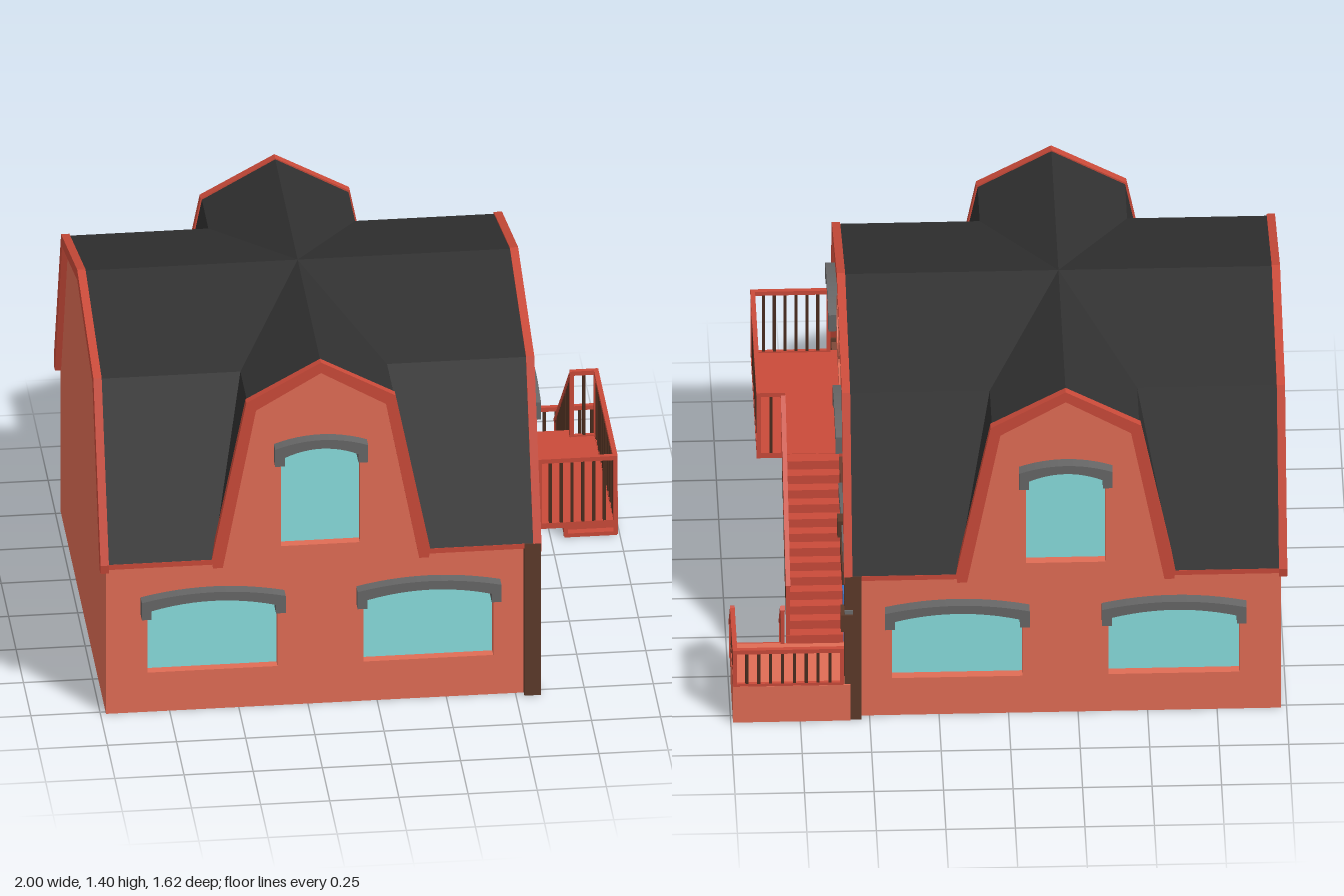
import * as THREE from 'three';

const mat = (color, extra = {}) => new THREE.MeshStandardMaterial({ color, ...extra });
const M = {
  wall: mat(0xe06c55), trim: mat(0xc94a39), roof: mat(0x303030, { side: THREE.DoubleSide, flatShading: true }),
  brown: mat(0x5c3a2a), door: mat(0x7e4838), stone: mat(0x666666), bar: mat(0x4a2c1e),
  glass: mat(0x88dddd, { side: THREE.DoubleSide }), blue: mat(0x3672c8),
};
const CX = -0.205, HL = 0.795, HW = 0.785;          // house centre, half length, half width
const SIDE = [[HW, 0.62], [0.54, 1.25], [0, 1.4]];   // gambrel half profiles, eave to ridge
const FRONT = [[0.39, 0.62], [0.265, 1.25], [0, 1.4]];

function add(parent, name, geo, material, x = 0, y = 0, z = 0) {
  const m = new THREE.Mesh(geo, material);
  m.name = name;
  m.position.set(x, y, z);
  parent.add(m);
  return m;
}
// box given by its minimum and maximum corners
function box(parent, name, material, x0, x1, y0, y1, z0, z1) {
  return add(parent, name, new THREE.BoxGeometry(x1 - x0, y1 - y0, z1 - z0), material,
    (x0 + x1) / 2, (y0 + y1) / 2, (z0 + z1) / 2);
}
const poly = pts => new THREE.Shape(pts.map(p => new THREE.Vector2(p[0], p[1])));
const mirrored = half => [...half, ...half.slice(0, -1).reverse().map(([x, y]) => [-x, y])];
const extrude = (shape, depth) => new THREE.ExtrudeGeometry(shape, { depth, bevelEnabled: false, curveSegments: 12 });

// arched window opening: u = centre, h = half width, y0 = sill, yl = foot of lintel
function opening({ u, h, y0, yl }) {
  const s = new THREE.Shape();
  s.moveTo(u - h, y0).lineTo(u + h, y0).lineTo(u + h, yl + 0.035);
  s.quadraticCurveTo(u, yl + 0.095, u - h, yl + 0.035);
  return s;
}
function lintel({ u, h, yl }) {
  const o = h + 0.025, i = h - 0.01, s = new THREE.Shape();
  s.moveTo(u - o, yl).lineTo(u - i, yl).lineTo(u - i, yl + 0.035);
  s.quadraticCurveTo(u, yl + 0.095, u + i, yl + 0.035);
  s.lineTo(u + i, yl).lineTo(u + o, yl).lineTo(u + o, yl + 0.07);
  s.quadraticCurveTo(u, yl + 0.13, u - o, yl + 0.07);
  return s;
}
// wall with gable, recessed windows, lintels and gable trim, facing local +z
function facade(parent, name, angle, half, dist, profile, windows, thick, round) {
  const g = new THREE.Group();
  g.name = name;
  g.position.x = CX;
  g.rotation.y = angle;
  parent.add(g);
  const face = dist - 0.02;
  const inner = [[half, 0], [half, 0.62], [Math.min(profile[0][0] - 0.01, half - 0.001), 0.62],
    [profile[1][0] - 0.005, 1.24], [0, 1.39]];
  const shape = poly(mirrored(inner));
  for (const w of windows) {
    shape.holes.push(opening(w));
    add(g, 'windowPane', new THREE.ShapeGeometry(opening(w)), M.glass, 0, 0, face - thick + 0.01);
    add(g, 'windowLintel', extrude(lintel(w), 0.06), M.stone, 0, 0, face - 0.015);
  }
  if (round) {
    const circle = r => new THREE.Path().absarc(0, 1.17, r, 0, Math.PI * 2);
    shape.holes.push(circle(0.08));
    const ring = new THREE.Shape().absarc(0, 1.17, 0.115, 0, Math.PI * 2);
    ring.holes.push(circle(0.08));
    add(g, 'roundWindowFrame', extrude(ring, 0.03), M.wall, 0, 0, face - 0.01);
    add(g, 'roundWindowPane', new THREE.CircleGeometry(0.08, 32), M.glass, 0, 1.17, face - 0.03);
  }
  add(g, 'wall', extrude(shape, thick), M.wall, 0, 0, face - thick);
  const [a, b, c] = profile, e = 0.005;
  const band = [[a[0], 0.585], [a[0] + e, a[1]], [b[0] + e, b[1] + e], [0, c[1] + e],
    [-b[0] - e, b[1] + e], [-a[0] - e, a[1]], [-a[0], 0.585],
    [-a[0] + 0.035, 0.585], [-b[0] + 0.03, 1.222], [0, 1.362], [b[0] - 0.03, 1.222], [a[0] - 0.035, 0.585]];
  add(g, 'gableTrim', extrude(poly(band), 0.03), M.trim, 0, 0, dist - 0.028);
}
// crossed gambrel roof: panels of one quadrant, mirrored four ways
function roof(parent) {
  const v = (x, p) => [x, p[1], p[0]], w = (p, z) => [p[0], p[1], z];
  const val = i => [FRONT[i][0], SIDE[i][1], SIDE[i][0]];
  const panels = [
    [v(HL, SIDE[0]), v(HL, SIDE[1]), val(1), val(0)],
    [v(HL, SIDE[1]), v(HL, SIDE[2]), val(2), val(1)],
    [w(FRONT[0], HW), w(FRONT[1], HW), val(1)],
    [w(FRONT[1], HW), w(FRONT[2], HW), val(2), val(1)],
  ];
  const pos = [];
  for (const sx of [1, -1]) for (const sz of [1, -1]) for (const p of panels)
    for (let i = 1; i < p.length - 1; i++) {
      // keep every panel facing up
      const t = [p[0], p[i], p[i + 1]].map(q => new THREE.Vector3(q[0] * sx, q[1], q[2] * sz));
      const n = new THREE.Triangle(...t).getNormal(new THREE.Vector3());
      if (n.y < 0) t.reverse();
      t.forEach(q => pos.push(q.x, q.y, q.z));
    }
  const geo = new THREE.BufferGeometry();
  geo.setAttribute('position', new THREE.Float32BufferAttribute(pos, 3));
  geo.computeVertexNormals();
  add(parent, 'roof', geo, M.roof, CX);
  for (const sx of [1, -1]) for (const sz of [1, -1])
    add(parent, 'eaveBoard', new THREE.BoxGeometry(HL - 0.39, 0.02, 0.035), M.trim,
      CX + sx * (HL + 0.39) / 2, 0.609, sz * (HW - 0.018));
}
function beam(parent, name, a, b, size, material) {
  const m = add(parent, name, new THREE.BoxGeometry(size, size, a.distanceTo(b) + size * 0.8), material);
  m.position.copy(a).lerp(b, 0.5);
  m.lookAt(b);
}
// railing from foot point a to foot point b
function railing(parent, a, b, h) {
  const A = new THREE.Vector3(...a), B = new THREE.Vector3(...b), up = new THREE.Vector3(0, h, 0);
  beam(parent, 'handrail', A.clone().add(up), B.clone().add(up), 0.017, M.trim);
  if (a[1] === b[1]) beam(parent, 'bottomRail', A, B, 0.012, M.trim);
  const n = Math.max(2, Math.round(A.distanceTo(B) / 0.042));
  for (let i = 0; i <= n; i++) {
    const p = A.clone().lerp(B, i / n), end = i === 0 || i === n, s = end ? 0.015 : 0.011;
    add(parent, end ? 'railPost' : 'baluster', new THREE.BoxGeometry(s, h, s), end ? M.trim : M.bar, p.x, p.y + h / 2, p.z);
  }
}

export function createModel() {
  const house = new THREE.Group();
  house.name = 'house';

  // walls and roof
  const long = [{ u: -0.39, h: 0.235, y0: 0.16, yl: 0.4 }, { u: 0.39, h: 0.235, y0: 0.16, yl: 0.4 },
    { u: 0, h: 0.143, y0: 0.65, yl: 1.0 }];
  const gable = [-0.39, 0.39].map(u => ({ u, h: 0.143, y0: 0.65, yl: 1.0 }));
  facade(house, 'frontWall', 0, 0.775, HW, FRONT, long, 0.045);
  facade(house, 'backWall', Math.PI, 0.775, HW, FRONT, long, 0.045);
  facade(house, 'stairSideWall', Math.PI / 2, 0.765, HL, SIDE, gable, 0.07, true);
  facade(house, 'plainSideWall', -Math.PI / 2, 0.765, HL, SIDE, [], 0.045);
  box(house, 'floor', M.wall, -0.978, 0.568, 0, 0.02, -0.763, 0.763);
  roof(house);

  // corner posts
  for (const s of [1, -1]) box(house, 'cornerPost', M.brown, 0.53, 0.59, 0, 0.62, Math.min(s * 0.73, s * 0.79), Math.max(s * 0.73, s * 0.79));

  // garage door with a grid of panes
  box(house, 'garageDoor', M.door, 0.55, 0.578, 0.02, 0.53, 0.01, 0.73);
  box(house, 'garageHeader', M.door, 0.55, 0.587, 0.525, 0.605, 0.01, 0.73);
  for (let i = 0; i < 6; i++) for (let j = 0; j < 5; j++) {
    const z = 0.147 + i * 0.0885, y = 0.145 + j * 0.0835;
    box(house, 'paneFrame', M.bar, 0.57, 0.581, y - 0.035, y + 0.035, z - 0.038, z + 0.038);
    box(house, 'garagePane', M.glass, 0.57, 0.583, y - 0.029, y + 0.029, z - 0.032, z + 0.032);
  }

  // entrance arch
  const arch = new THREE.Shape();
  arch.moveTo(-0.395, 0.45).bezierCurveTo(-0.395, 0.55, -0.22, 0.6, 0, 0.6);
  arch.bezierCurveTo(0.22, 0.6, 0.395, 0.55, 0.395, 0.45).lineTo(0.35, 0.45);
  arch.bezierCurveTo(0.35, 0.52, 0.2, 0.558, 0, 0.558).bezierCurveTo(-0.2, 0.558, -0.35, 0.52, -0.35, 0.45);
  add(house, 'entranceArch', extrude(arch, 0.03), M.stone, 0.56, 0, -0.4).rotation.y = Math.PI / 2;
  box(house, 'archColumn', M.stone, 0.56, 0.59, 0, 0.45, -0.05, -0.006);
  for (const z of [-0.03, -0.765]) box(house, 'archBlock', M.brown, 0.56, 0.604, 0.39, 0.46, z - 0.035, z + 0.035);
  const taper = (b, t, y0, y1) => poly([[-b, y0], [b, y0], [t, y1], [-t, y1]]);
  add(house, 'keystone', extrude(taper(0.018, 0.026, 0.54, 0.615), 0.04), M.brown, 0.564, 0, -0.402).rotation.y = Math.PI / 2;

  // front door
  box(house, 'entranceDoor', M.blue, 0.56, 0.58, 0.025, 0.39, -0.5, -0.31);
  for (const z of [-0.36, -0.45]) for (const y of [0.13, 0.28])
    box(house, 'doorPanel', M.blue, 0.57, 0.586, y - 0.055, y + 0.055, z - 0.03, z + 0.03);
  add(house, 'doorHeader', extrude(taper(0.1, 0.112, 0.39, 0.46), 0.03), M.brown, 0.56, 0, -0.402).rotation.y = Math.PI / 2;

  // balcony, landing and two flights of stairs
  box(house, 'balconyFloor', M.trim, 0.57, 0.88, 0.605, 0.622, 0, 0.655);
  box(house, 'landing', M.wall, 0.57, 0.992, 0, 0.155, -0.795, -0.52);
  const steps = 13, rise = 0.465 / steps, run = 0.52 / steps;
  for (let i = 0; i < steps; i++) {
    const y = 0.62 - i * rise, z = -i * run;
    box(house, 'upperStep', M.trim, 0.585, 0.79, y - rise - 0.012, y, z - run - 0.006, z);
  }
  for (let i = 0; i < 5; i++) {
    const y = 0.155 - (i + 0.5) * 0.031, z = -0.52 + i * 0.029;
    box(house, 'lowerStep', M.trim, 0.8, 0.99, 0, y, z, z + 0.029);
  }

  // railings
  const rails = new THREE.Group();
  rails.name = 'railings';
  house.add(rails);
  railing(rails, [0.873, 0.622, 0.65], [0.873, 0.622, 0.005], 0.26);
  railing(rails, [0.6, 0.622, 0.65], [0.873, 0.622, 0.65], 0.26);
  railing(rails, [0.785, 0.622, 0.005], [0.873, 0.622, 0.005], 0.26);
  railing(rails, [0.785, 0.62, 0], [0.785, 0.155, -0.515], 0.25);
  railing(rails, [0.985, 0.16, -0.515], [0.985, 0.16, -0.788], 0.145);
  railing(rails, [0.6, 0.16, -0.788], [0.985, 0.16, -0.788], 0.145);
  for (const x of [0.805, 0.985]) railing(rails, [x, 0.155, -0.52], [x, 0.005, -0.38], 0.15);
  return house;
}
